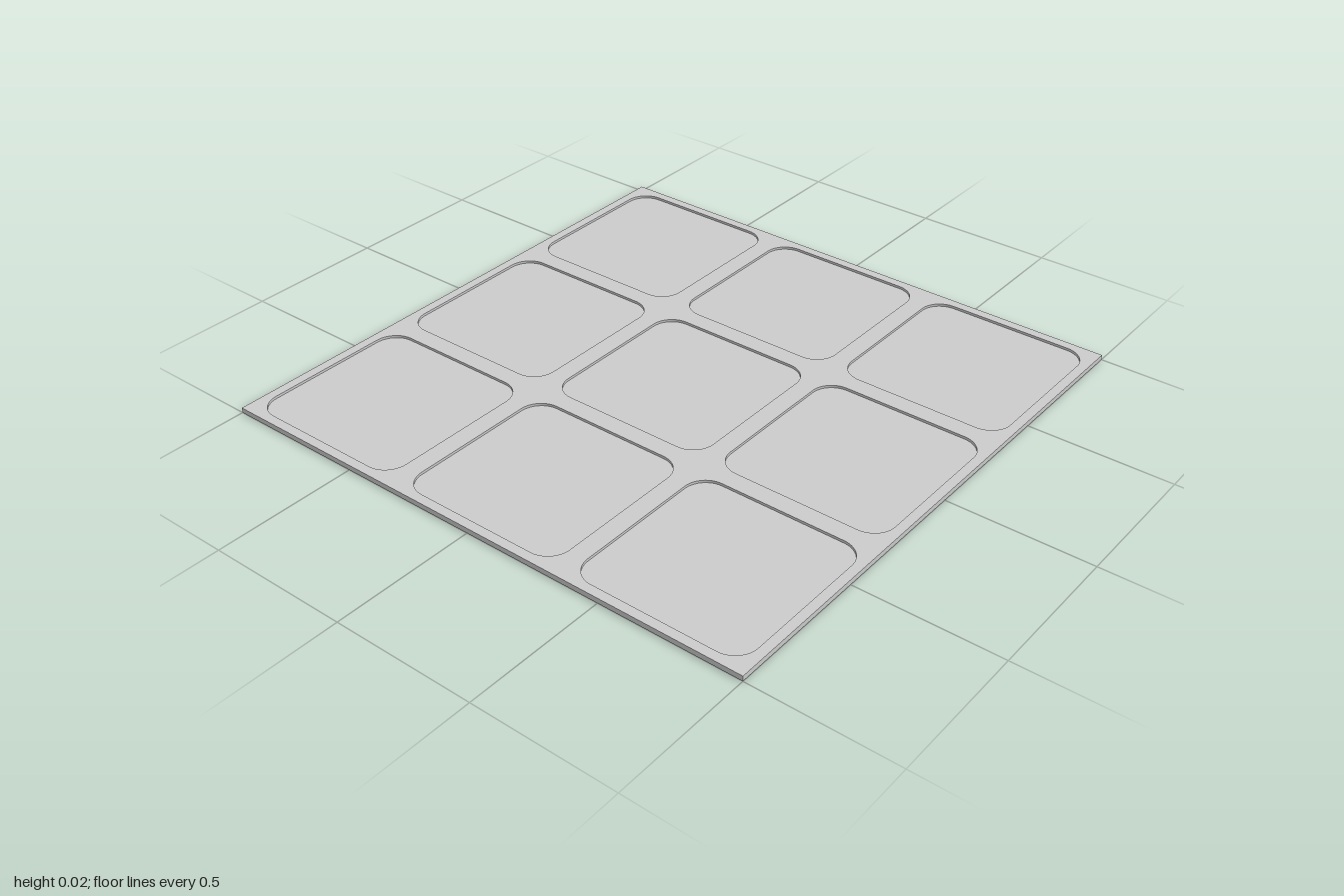
import * as THREE from 'three';

const SIZE = 2, CELLS = 3, PITCH = SIZE / CELLS;
const POCKET = 0.6, RADIUS = 0.08;
const HEIGHT = 0.018, FLOOR = 0.009;

// Rounded square outline centred on (cx, cy)
function roundedSquare(cx, cy, size, r) {
  const h = size / 2 - r;
  const path = new THREE.Path();
  path.absarc(cx + h, cy + h, r, 0, Math.PI / 2);
  path.absarc(cx - h, cy + h, r, Math.PI / 2, Math.PI);
  path.absarc(cx - h, cy - h, r, Math.PI, Math.PI * 1.5);
  path.absarc(cx + h, cy - h, r, Math.PI * 1.5, Math.PI * 2);
  path.closePath();
  return path;
}

export function createModel() {
  const group = new THREE.Group();
  group.name = 'pocketedTray';
  const material = new THREE.MeshStandardMaterial({ color: 0xcccccc });

  // Solid slab that forms the pocket floors
  const base = new THREE.Mesh(new THREE.BoxGeometry(SIZE, FLOOR, SIZE), material);
  base.name = 'base';
  base.position.y = FLOOR / 2;
  group.add(base);

  // Raised grid frame with a rounded square opening per cell
  const h = SIZE / 2;
  const outline = new THREE.Shape([
    new THREE.Vector2(-h, -h), new THREE.Vector2(h, -h),
    new THREE.Vector2(h, h), new THREE.Vector2(-h, h),
  ]);
  for (let i = 0; i < CELLS; i++) {
    for (let j = 0; j < CELLS; j++) {
      const offset = (CELLS - 1) / 2;
      outline.holes.push(roundedSquare((i - offset) * PITCH, (j - offset) * PITCH, POCKET, RADIUS));
    }
  }
  const frameGeometry = new THREE.ExtrudeGeometry(outline, {
    depth: HEIGHT - FLOOR, bevelEnabled: false, curveSegments: 8,
  });
  frameGeometry.rotateX(-Math.PI / 2);
  const frame = new THREE.Mesh(frameGeometry, material);
  frame.name = 'gridFrame';
  frame.position.y = FLOOR;
  group.add(frame);

  return group;
}
